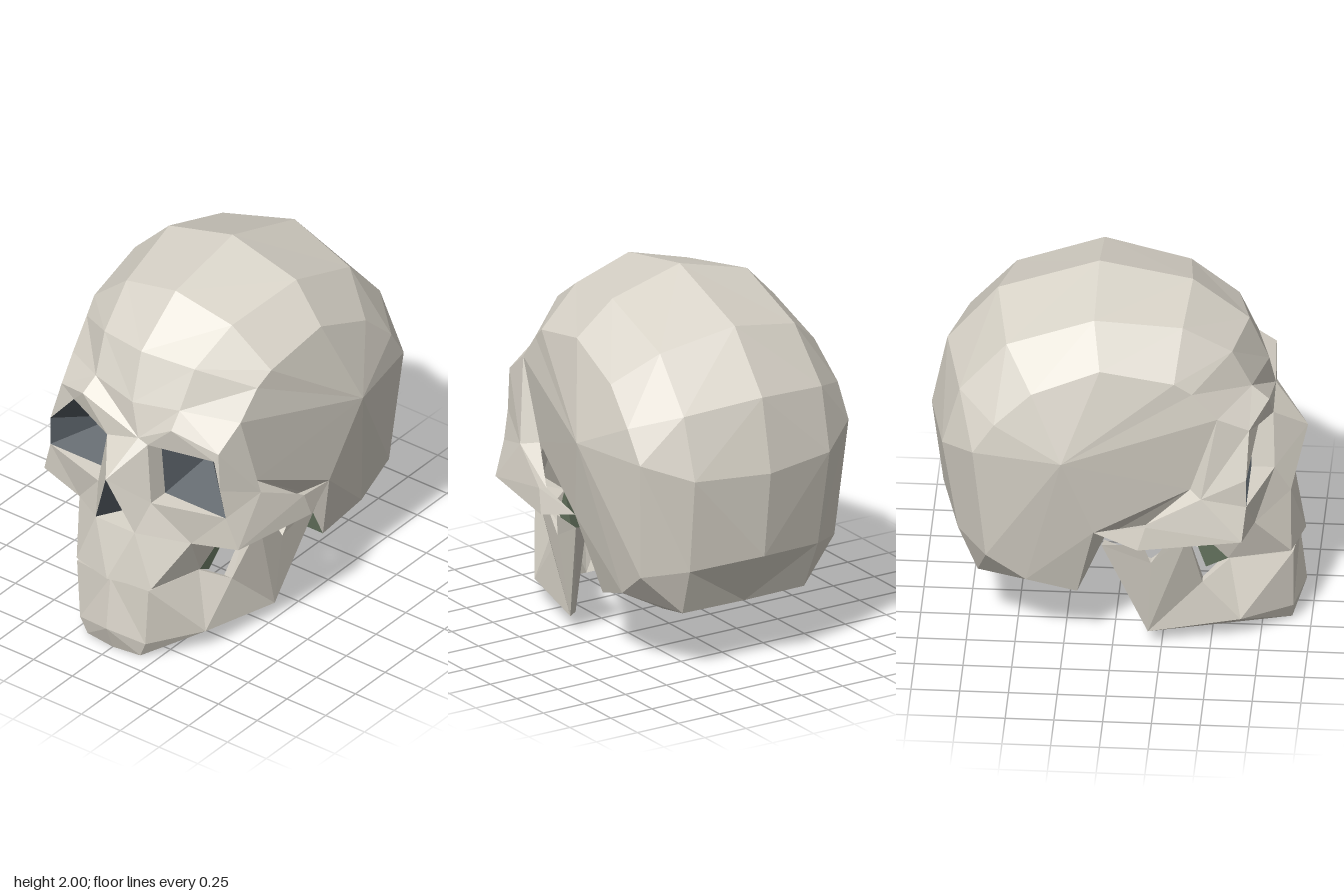
import * as THREE from 'three';

const flat = (name, color) => {
  const m = new THREE.MeshStandardMaterial({ color, flatShading: true, side: THREE.DoubleSide });
  m.name = name;
  return m;
};

// Builds one half (s = 1 left, -1 right) from named points; each face is a fan of point names.
// Points marked with a leading underscore lie on the midline and are not mirrored.
function half(name, pts, faces, s, material) {
  const pos = [];
  const at = (k) => {
    const [x, y, z] = pts[k];
    return [k[0] === '_' ? x : x * s, y, z];
  };
  for (const f of faces) {
    const n = f.split(' ');
    for (let i = 1; i < n.length - 1; i++) {
      const tri = s > 0 ? [n[0], n[i], n[i + 1]] : [n[0], n[i + 1], n[i]];
      tri.forEach((k) => pos.push(...at(k)));
    }
  }
  const g = new THREE.BufferGeometry();
  g.setAttribute('position', new THREE.Float32BufferAttribute(pos, 3));
  g.computeVertexNormals();
  const mesh = new THREE.Mesh(g, material);
  mesh.name = (s > 0 ? 'left' : 'right') + name;
  return mesh;
}

// Points shared by cranium and face
const shared = {
  _G: [0.08, 1.26, 0.8], BU: [0.27, 1.45, 0.7], BO: [0.54, 1.4, 0.54],
  T: [0.53, 0.97, 0.4], B: [0.63, 0.75, -0.09], C: [0.725, 1.21, -0.25],
  Gr: [0.5, 0.65, -0.04], Lf: [0.52, 0.33, -0.18], K: [0.39, 0.69, 0.38],
};

// Cranium rows from brow over the crown to the base: midline, inner and outer column
const rows = [
  [[0.02, 1.44, 0.77], shared.BU, shared.BO],
  [[0, 1.69, 0.67], [0.29, 1.66, 0.6], [0.55, 1.55, 0.41]],
  [[0, 1.91, 0.38], [0.34, 1.82, 0.35], [0.57, 1.62, 0.32]],
  [[0, 2, -0.1], [0.41, 1.89, -0.1], [0.6, 1.7, -0.06]],
  [[0, 1.82, -0.62], [0.41, 1.73, -0.55], [0.62, 1.56, -0.41]],
  [[0, 1.51, -0.88], [0.42, 1.46, -0.79], [0.64, 1.38, -0.6]],
  [[0, 1.12, -0.96], [0.41, 1.13, -0.88], [0.635, 1.21, -0.71]],
  [[0, 0.65, -0.9], [0.39, 0.61, -0.8], [0.59, 0.57, -0.645]],
  [[0, 0.35, -0.71], [0.37, 0.35, -0.7], [0.57, 0.42, -0.44]],
  [[0, 0.29, -0.45], [0.33, 0.29, -0.45], [0.57, 0.42, -0.44]],
  [[0, 0.33, -0.18], [0.3, 0.33, -0.18], shared.Lf],
];

function cranium(s, bone) {
  const pts = { ...shared };
  const key = (i, j) => (j ? 'p' : '_p') + i + j;
  rows.forEach((r, i) => r.forEach((p, j) => { pts[key(i, j)] = p; }));
  const faces = ['_G BU _p00'];
  for (let i = 0; i < rows.length - 1; i++)
    for (let j = 0; j < 2; j++) {
      const quad = [key(i, j), key(i, j + 1), key(i + 1, j + 1), key(i + 1, j)];
      if (i > 5) quad.push(quad.shift()); // turn the diagonal at the lower back to stay convex
      faces.push(quad.join(' '));
    }
  // side of the head, a fan around its widest point
  const ring = [0, 1, 2, 3, 4, 5, 6, 7, 8].map((i) => key(i, 2)).concat('B', 'T', 'BO');
  for (let i = 0; i < ring.length - 1; i++) faces.push(`C ${ring[i + 1]} ${ring[i]}`);
  // lower edge and underside of the temple
  faces.push('B p82 Lf', 'B Lf Gr', 'T B Gr', 'T Gr K');
  return half('Cranium', pts, faces, s, bone);
}

// Face: brow, eye rim, nose, cheek, upper jaw
const facePts = {
  ...shared,
  BL: [0.285, 1.38, 0.79], BLo: [0.52, 1.28, 0.7],
  Ei: [0.14, 1.24, 0.8], Eo: [0.5, 1.235, 0.71], Er: [0.53, 1.06, 0.7],
  Eb: [0.56, 0.9, 0.69], En: [0.17, 0.9, 0.81], apex: [0.29, 1.07, 0.46],
  Ej: [0.14, 1.24, 0.69], Em: [0.17, 0.9, 0.69],
  _N: [0, 1.06, 0.97], NB: [0.125, 0.74, 0.89], _NM: [0, 0.74, 0.89], _NA: [0, 0.75, 0.7],
  Z: [0.625, 0.72, 0.67], F: [0.61, 0.96, 0.46], M1: [0.36, 0.68, 0.72],
  _M0: [0, 0.445, 0.96], M2: [0.24, 0.445, 0.9], M3: [0.31, 0.43, 0.58],
  Au: [0.675, 0.82, 0.18], Al: [0.69, 0.69, 0.14], Ai: [0.63, 0.81, 0.18], Ab: [0.63, 0.7, 0.16],
};
const rightEye = {
  Ei: [0.12, 1.2, 0.8], Ej: [0.12, 1.2, 0.69], Eo: [0.38, 1.28, 0.74], Er: [0.57, 1.06, 0.69],
  Eb: [0.57, 0.9, 0.69], BLo: [0.49, 1.31, 0.7],
};
const browFaces = ['_G BL BU', 'BU BL BLo BO', '_G Ei BL', 'Ei Eo BL', 'BL Eo BLo', 'BLo Eo Er'];
const noseFaces = ['_G _N Ei', 'Ei _N En', '_N NB En', '_NM NB _NA'];
const eyeRimFaces = ['Ei En Em Ej', 'En Eb Em', 'Ei Ej Eo'];
const cheekFaces = [
  'BLo F BO', 'BLo Er F', 'Er Eb F', 'Eb Z F', 'BO F T',
  'En NB M1', 'En M1 Eb', 'Eb M1 Z', 'M1 K Z',
];
const archFaces = ['Z Al Au F', 'Al B Au', 'F Au Ai T', 'Au B Ai', 'Z K Ab Al', 'Al Ab B', 'Ai B Ab'];
const upperJawFaces = ['_NM _M0 NB', 'NB _M0 M2', 'NB M2 M1', 'M1 M2 M3', 'M1 M3 K'];
const socketFaces = ['apex Ej Eo', 'apex Eo Er', 'apex Er Eb', 'apex Eb Em', 'apex Em Ej'];
const nostrilFaces = ['_N _NA NB'];

// Lower jaw: outer skin, rim and inner skin
const jawPts = {
  _t0: [0, 0.435, 0.93], t1: [0.23, 0.435, 0.91], t2: [0.31, 0.43, 0.59],
  _c0: [0, 0.14, 0.965], c1: [0.21, 0.1, 0.91], _b0: [0, 0, 0.91], b1: [0.17, 0.01, 0.9],
  q: [0.4, 0.12, 0.65], a: [0.485, 0.08, 0.18], R: [0.42, 0.35, 0.455],
  cor: [0.55, 0.7, 0.39], cor2: [0.56, 0.69, 0.3], notch: [0.55, 0.53, 0.2],
  con2: [0.58, 0.66, 0.16], con: [0.6, 0.66, -0.05],
  _ti: [0, 0.41, 0.8], t1i: [0.16, 0.41, 0.78], t2i: [0.25, 0.41, 0.56],
  _bi: [0, 0.03, 0.78], qi: [0.33, 0.12, 0.6], ai: [0.44, 0.09, 0.2], Ri: [0.37, 0.35, 0.455],
  cori: [0.46, 0.67, 0.38], notchi: [0.5, 0.53, 0.2], coni: [0.53, 0.65, -0.04],
};
const jawFaces = [
  '_t0 _c0 c1 t1', 't1 c1 q t2', 't2 q R', 'R q a', 'R a cor', 'cor a notch cor2', 'notch a con con2',
  '_c0 _b0 b1 c1', 'c1 b1 q', 'b1 a q', '_b0 _bi b1', 'b1 _bi qi', 'b1 qi ai a',
  '_t0 t1 t1i _ti', 't1 t2 t2i t1i', 't2 R Ri t2i', 'R cor cori Ri', 'cor cor2 notch notchi cori',
  'notch con2 con coni notchi', 'con a ai coni',
  '_ti t1i _bi', 't1i t2i qi _bi', 't2i Ri qi', 'Ri ai qi', 'Ri cori ai', 'cori notchi ai', 'notchi coni ai',
];

// Dark lining under the skull base, behind the upper jaw and over the palate
const liningPts = {
  ...shared, M2: facePts.M2, M3: facePts.M3, _m0: facePts._M0,
  _l: [0, 0.33, -0.18], _g: [0, 0.65, -0.04], _k: [0, 0.66, 0.36], _m: [0, 0.46, 0.5],
  W: [0.28, 0.355, 0.465], H: [0.38, 0.6, 0.22],
};
const liningFaces = [
  'Lf _l _g Gr', 'Gr _g H', '_g _k H', '_k K H', 'Gr H K',
  'K _k _m W', 'K W M3', 'W _m M3', 'M3 _m _m0 M2',
];

export function createModel() {
  const bone = flat('bone', 0xd8d3c8);
  const socket = flat('socket slate', 0x52595f);
  const lining = flat('lining green', 0x778870);
  const model = new THREE.Group();
  model.name = 'skull';
  for (const s of [1, -1]) {
    const face = s > 0 ? facePts : { ...facePts, ...rightEye };
    model.add(
      cranium(s, bone),
      half('Brow', face, browFaces, s, bone),
      half('Nose', face, noseFaces, s, bone),
      half('EyeRim', face, eyeRimFaces, s, bone),
      half('Cheek', face, cheekFaces, s, bone),
      half('CheekArch', face, archFaces, s, bone),
      half('UpperJaw', face, upperJawFaces, s, bone),
      half('LowerJaw', jawPts, jawFaces, s, bone),
      half('EyeSocket', face, socketFaces, s, socket),
      half('NoseCavity', face, nostrilFaces, s, socket),
      half('SkullBase', liningPts, liningFaces, s, lining),
    );
  }
  return model;
}
